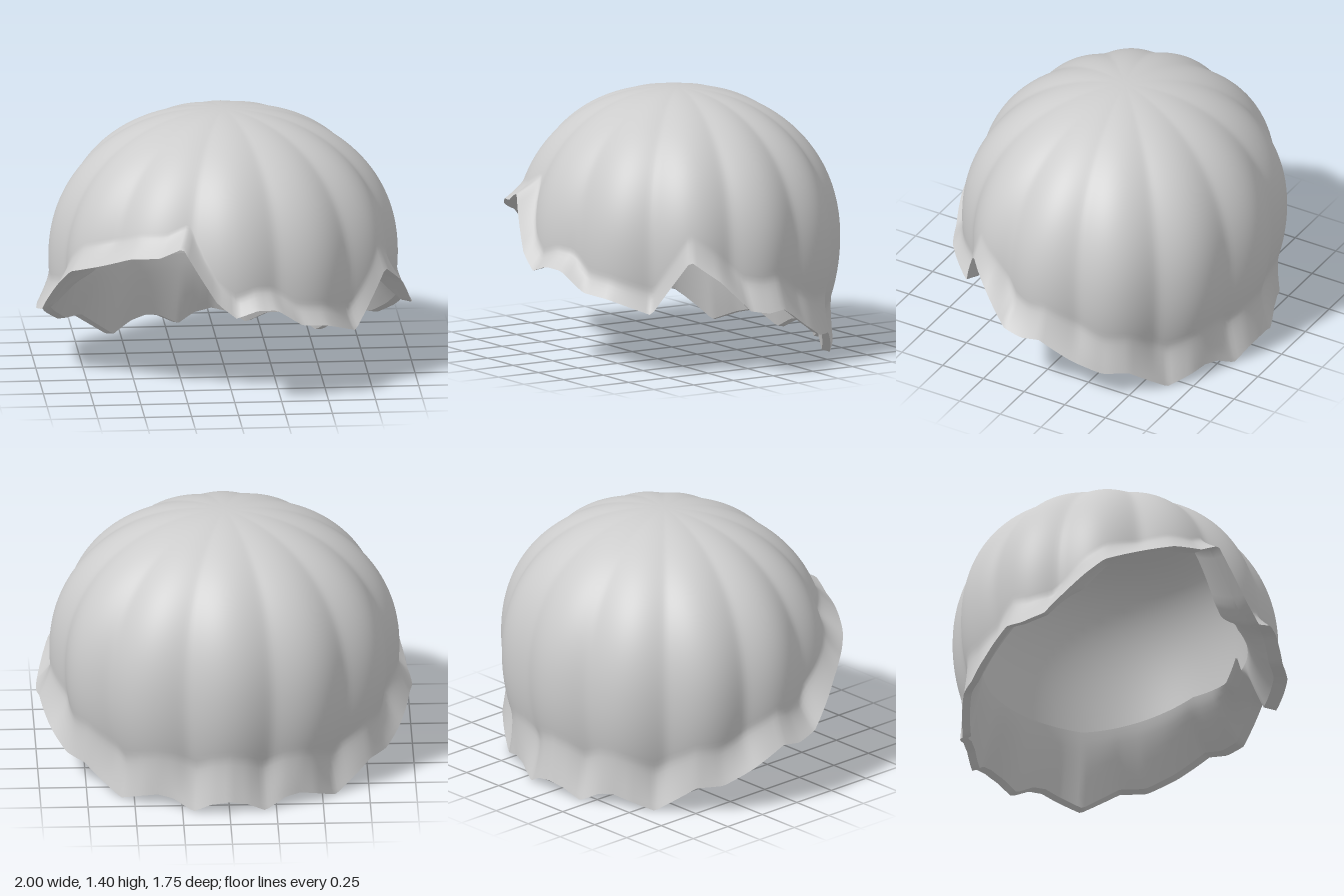
import * as THREE from 'three';

const SEG = 240, TOP = 1.405, RX = 0.93, RZ = 0.84, ZC = -0.035;

// Scalloped back half of the rim, from the side to the middle of the back (x, y, z)
const back = [
  [1, 0.34, 0.02], [0.985, 0.35, -0.08], [0.93, 0.24, -0.25], [0.85, 0.16, -0.39], [0.76, 0.15, -0.5],
  [0.57, 0, -0.63], [0.46, 0.05, -0.72], [0.38, 0.07, -0.75], [0.3, 0.06, -0.78],
  [0.19, 0, -0.82], [0.1, 0.05, -0.85],
];
// Ragged front of the rim, from right to left
const front = [
  [-0.98, 0.37, 0.15], [-0.9, 0.58, 0.36], [-0.85, 0.66, 0.45], [-0.7, 0.73, 0.61], [-0.55, 0.79, 0.7],
  [-0.4, 0.81, 0.77], [-0.28, 0.87, 0.8], [-0.1, 0.58, 0.87], [0, 0.5, 0.875], [0.12, 0.54, 0.87],
  [0.22, 0.53, 0.84], [0.36, 0.43, 0.79], [0.5, 0.41, 0.73], [0.66, 0.33, 0.55],
  [0.83, 0.63, 0.41], [0.93, 0.52, 0.28], [0.99, 0.36, 0.13],
];

// Rim as [angle, radius factor, height], sorted and padded so that it wraps
const rim = [...front, ...back, ...back.map(([x, y, z]) => [-x, y, z]), [0, 0.07, -0.865]]
  .map(([x, y, z]) => {
    const u = x / RX, w = (z - ZC) / RZ;
    return [Math.atan2(u, w), Math.hypot(u, w), y];
  })
  .sort((a, b) => a[0] - b[0]);
const turn = 2 * Math.PI;
const first = rim[0], last = rim[rim.length - 1];
rim.unshift([last[0] - turn, last[1], last[2]]);
rim.push([first[0] + turn, first[1], first[2]]);

function rimAt(phi) {
  let k = 1;
  while (k < rim.length - 1 && rim[k][0] < phi) k++;
  const a = rim[k - 1], b = rim[k];
  const t = (phi - a[0]) / (b[0] - a[0]);
  return { f: a[1] + (b[1] - a[1]) * t, y: a[2] + (b[2] - a[2]) * t };
}

// Smooth dome profile: rounded above, tucked in slightly below
function dome(y) {
  if (y < 0.6) return 1 - 0.55 * (0.6 - y) ** 2;
  const v = Math.min(1, (y - 0.6) / (TOP - 0.6));
  return (1 - v ** 2.15) ** (1 / 2.15);
}

// Twelve rounded ribs with narrow grooves between them
function rib(phi) {
  const c = Math.cos(6 * phi);
  return 1 - 0.055 * (1 - Math.sqrt((c * c + 0.03) / 1.03));
}

// Outer skin, with a flare that is short at the front and tall at the back
function outer(phi, t) {
  const r = rimAt(phi);
  const y = r.y + (TOP - r.y) * Math.cos(t * Math.PI / 2);
  const h = 0.17 - 0.08 * Math.cos(phi);
  const s = Math.max(0, (r.y + h - y) / h) ** 1.4;
  const ribbed = (level) => dome(level) * rib(phi);
  return [ribbed(y) + (r.f - ribbed(r.y)) * s, y];
}

// Edge between lining and underside: level at the back, rising to the sides
function creaseHeight(phi) {
  const rise = THREE.MathUtils.clamp(1 + Math.cos(phi) / 0.77, 0, 1);
  return Math.max(0.42 + 0.18 * rise, rimAt(phi).y + 0.08);
}

// Steep-walled hollow
function hollow(y) {
  const v = THREE.MathUtils.clamp((y - 0.5) / 0.86, 0, 1);
  return 0.81 * (1 - v ** 3) ** (1 / 3);
}

function lining(phi, t) {
  const yc = creaseHeight(phi);
  const y = yc + (1.36 - yc) * Math.cos(t * Math.PI / 2);
  return [hollow(y), y];
}

function underside(phi, t) {
  const r = rimAt(phi), yc = creaseHeight(phi);
  const a = hollow(yc), b = r.f - 0.05 - 0.04 * Math.max(0, Math.cos(phi));
  return [a + (b - a) * t ** 1.4, yc + (r.y + 0.01 - yc) * t];
}

function edge(phi, t) {
  const a = outer(phi, 1), b = underside(phi, 1);
  return [a[0] + (b[0] - a[0]) * t, a[1] + (b[1] - a[1]) * t];
}

// Closed rings of points from a rule giving [radius factor, height]
function rings(rule, rows, inward) {
  const pos = [], index = [];
  for (let j = 0; j <= rows; j++) {
    const t = inward ? 1 - j / rows : j / rows;
    for (let i = 0; i < SEG; i++) {
      const phi = -Math.PI + (i / SEG) * turn;
      const [f, y] = rule(phi, t);
      pos.push(Math.sin(phi) * RX * f, y, ZC + Math.cos(phi) * RZ * f);
    }
  }
  for (let j = 0; j < rows; j++) {
    for (let i = 0; i < SEG; i++) {
      const n = (i + 1) % SEG;
      const a = j * SEG + i, b = a + SEG, c = (j + 1) * SEG + n, d = j * SEG + n;
      index.push(a, b, c, a, c, d);
    }
  }
  const g = new THREE.BufferGeometry();
  g.setAttribute('position', new THREE.Float32BufferAttribute(pos, 3));
  g.setIndex(index);
  g.computeVertexNormals();
  return g;
}

export function createModel() {
  const group = new THREE.Group();
  group.name = 'ribbedCap';
  const grey = new THREE.MeshStandardMaterial({ color: 0xcccccc });
  grey.name = 'light grey';
  const add = (name, geometry) => {
    const mesh = new THREE.Mesh(geometry, grey);
    mesh.name = name;
    group.add(mesh);
  };
  add('ribbedDome', rings(outer, 72, false));
  add('rimEdge', rings(edge, 1, false));
  // The underside runs from the crease down to the rim, so its rows face inward when reversed
  add('flareUnderside', rings(underside, 8, true));
  add('innerLining', rings(lining, 24, true));
  return group;
}
